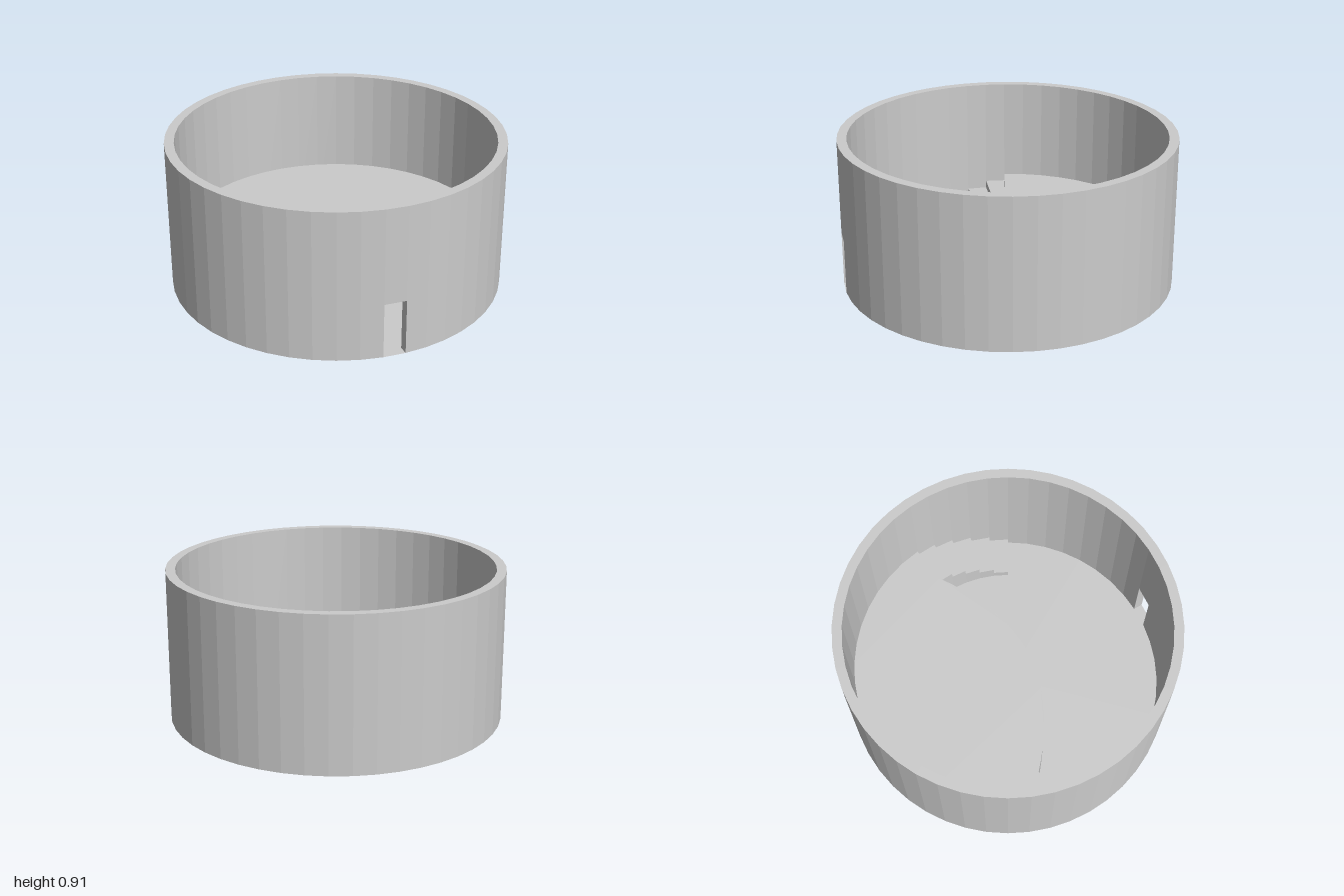
import * as THREE from 'three';

const SIDES = 48, STEP = 360 / SIDES, HALF = STEP / 2;
const R_OUT = 1, R_IN = 0.943, R_STAIR = 0.71;
const WALL_H = 0.91, DOOR_H = 0.335, STAGE_H = 0.28;
const STAGE_ANGLE = HALF + 13 * STEP; // stage edge, in degrees from the doorway
const STAIRS = 5;

// Point at a radius and an angle measured from +z towards +x
function polar(r, deg, y = 0) {
  const a = THREE.MathUtils.degToRad(deg);
  return new THREE.Vector3(r * Math.sin(a), y, r * Math.cos(a));
}

// Ground plan point for a shape that is extruded upwards
function plan(r, deg) {
  const p = polar(r, deg);
  return new THREE.Vector2(p.x, -p.z);
}

function raise(shape, height) {
  const geo = new THREE.ExtrudeGeometry(shape, { depth: height, bevelEnabled: false, curveSegments: 24 });
  return geo.rotateX(-Math.PI / 2);
}

// Faceted ring wall with one facet left open as a doorway
function wallGeometry() {
  const pos = [];
  const quad = (a, b, c, d) => [a, b, c, a, c, d].forEach((p) => pos.push(p.x, p.y, p.z));
  for (let i = 0; i < SIDES; i++) {
    const a = i * STEP - HALF, b = a + STEP;
    const y = i === 0 ? DOOR_H : 0;
    quad(polar(R_OUT, a, y), polar(R_OUT, b, y), polar(R_OUT, b, WALL_H), polar(R_OUT, a, WALL_H));
    quad(polar(R_IN, b, y), polar(R_IN, a, y), polar(R_IN, a, WALL_H), polar(R_IN, b, WALL_H));
    quad(polar(R_OUT, a, WALL_H), polar(R_OUT, b, WALL_H), polar(R_IN, b, WALL_H), polar(R_IN, a, WALL_H));
  }
  // Lintel and the two jambs
  quad(polar(R_IN, -HALF, DOOR_H), polar(R_IN, HALF, DOOR_H), polar(R_OUT, HALF, DOOR_H), polar(R_OUT, -HALF, DOOR_H));
  quad(polar(R_OUT, -HALF), polar(R_IN, -HALF), polar(R_IN, -HALF, DOOR_H), polar(R_OUT, -HALF, DOOR_H));
  quad(polar(R_IN, HALF), polar(R_OUT, HALF), polar(R_OUT, HALF, DOOR_H), polar(R_IN, HALF, DOOR_H));
  const geo = new THREE.BufferGeometry();
  geo.setAttribute('position', new THREE.Float32BufferAttribute(pos, 3));
  geo.computeVertexNormals();
  return geo;
}

// Raised platform along the back wall with a bowed front edge
function stageGeometry() {
  const outline = [];
  for (let a = STAGE_ANGLE; a <= 360 - STAGE_ANGLE + 0.01; a += STEP) outline.push(plan(R_IN, a));
  outline.push(plan(R_STAIR, -STAGE_ANGLE));
  const end = plan(R_STAIR, STAGE_ANGLE);
  const shape = new THREE.Shape(outline);
  shape.quadraticCurveTo(0, -0.415, end.x, end.y);
  return raise(shape, STAGE_H);
}

export function createModel() {
  const model = new THREE.Group();
  model.name = 'arena';
  const material = new THREE.MeshStandardMaterial({ color: 0xcccccc, flatShading: true });
  const floorMaterial = new THREE.MeshStandardMaterial({ color: 0xcccccc, side: THREE.DoubleSide });
  const add = (parent, name, geo, mat = material) => {
    const mesh = new THREE.Mesh(geo, mat);
    mesh.name = name;
    parent.add(mesh);
  };

  add(model, 'wall', wallGeometry());
  const floor = new THREE.CircleGeometry(R_OUT, SIDES).rotateX(-Math.PI / 2);
  add(model, 'floor', floor.rotateY(THREE.MathUtils.degToRad(HALF)), floorMaterial);
  add(model, 'stage', stageGeometry());

  // Curved stairs descending from both ends of the stage
  for (const side of [1, -1]) {
    const stairs = new THREE.Group();
    stairs.name = side > 0 ? 'leftStairs' : 'rightStairs';
    for (let i = 0; i < STAIRS; i++) {
      const a = side * (STAGE_ANGLE - i * STEP), b = a - side * STEP;
      const shape = new THREE.Shape([plan(R_STAIR, a), plan(R_IN, a), plan(R_IN, b), plan(R_STAIR, b)]);
      add(stairs, 'step', raise(shape, STAGE_H * (STAIRS - i) / (STAIRS + 1)));
    }
    model.add(stairs);
  }

  // The doorway sits slightly to the right of the front
  model.rotation.y = THREE.MathUtils.degToRad(-2.6);
  return model;
}
